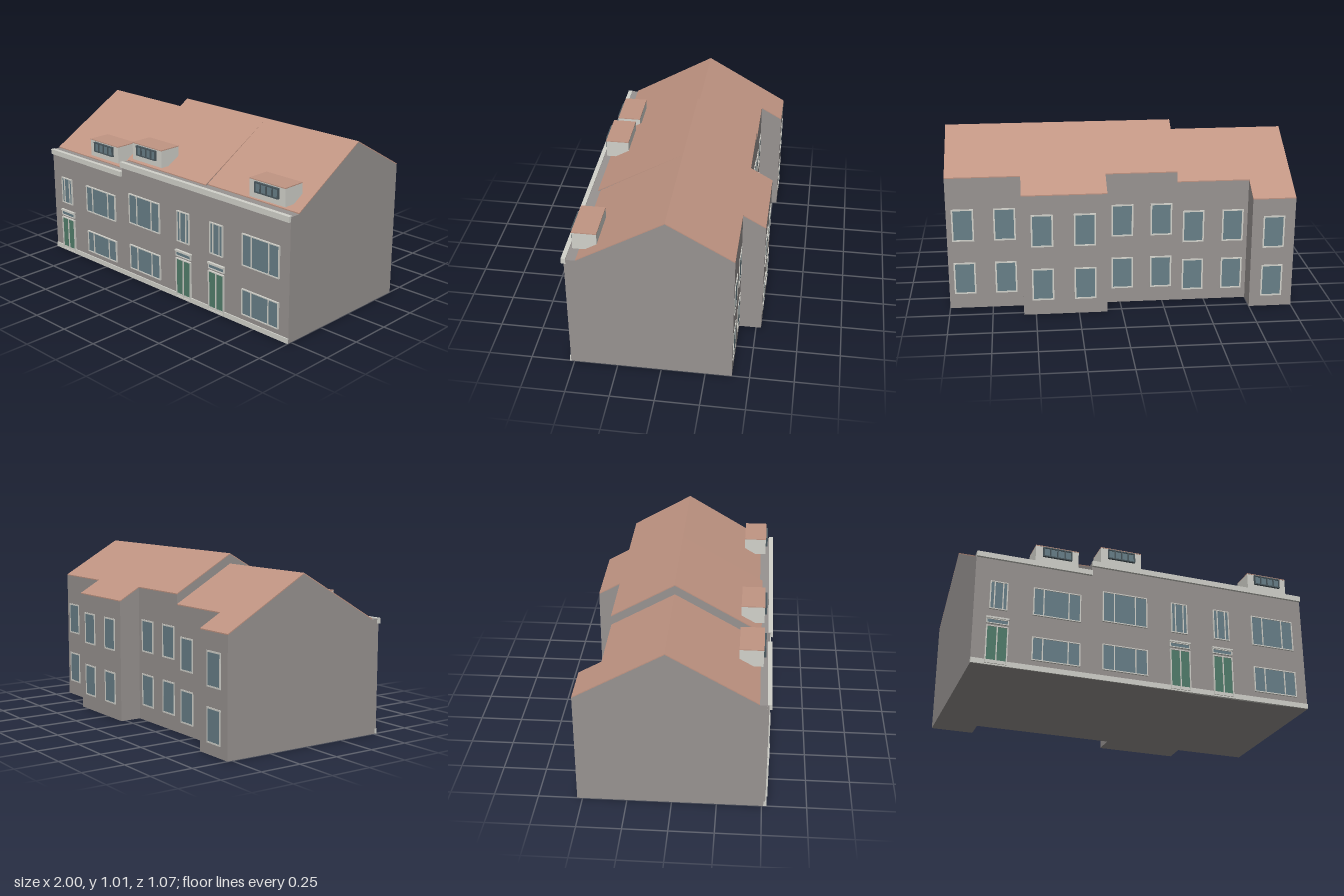
import * as THREE from 'three';

const mat = (name, color) => {
  const m = new THREE.MeshStandardMaterial({ color });
  m.name = name;
  return m;
};

export function createModel() {
  const wall = mat('grey wall', 0x989391);
  const tile = mat('terracotta roof', 0xc19583);
  const trim = mat('pale trim', 0xd2d2cb);
  const glass = mat('blue glass', 0x687f88);
  const green = mat('green door', 0x517d6b);
  const dark = mat('dark frame', 0x4c5a60);
  const model = new THREE.Group();
  model.name = 'terrace';

  const add = (name, geo, material, parent = model) => {
    const mesh = new THREE.Mesh(geo, material);
    mesh.name = name;
    parent.add(mesh);
    return mesh;
  };
  const box = (name, x0, x1, y0, y1, z0, z1, material, parent) =>
    add(name, new THREE.BoxGeometry(x1 - x0, y1 - y0, z1 - z0), material, parent)
      .position.set((x0 + x1) / 2, (y0 + y1) / 2, (z0 + z1) / 2);

  // Extrudes a (z, y) cross-section along x
  const section = (name, pts, x0, x1, material) => {
    const shape = new THREE.Shape(pts.map(([z, y]) => new THREE.Vector2(-z, y)));
    const geo = new THREE.ExtrudeGeometry(shape, { depth: x1 - x0, bevelEnabled: false });
    geo.rotateY(Math.PI / 2).translate(x0, 0, 0);
    add(name, geo, material);
  };

  // Framed opening: bars are x positions of the mullions
  const opening = (name, x0, x1, y0, y1, z, o = {}) => {
    const { bars = [], frame = trim, fill = glass, back = false, edge = 0.006, depth = 0.01 } = o;
    const g = new THREE.Group();
    g.name = name;
    const cx = (x0 + x1) / 2, w = (x1 - x0) / 2;
    const rect = (P, a, b, c, d) => {
      const p = new P();
      p.moveTo(a, c); p.lineTo(b, c); p.lineTo(b, d); p.lineTo(a, d); p.closePath();
      return p;
    };
    const shape = rect(THREE.Shape, -w, w, y0, y1);
    const stops = [-w + edge / 2, ...bars.map(b => b - cx), w - edge / 2];
    for (let i = 0; i + 1 < stops.length; i++)
      shape.holes.push(rect(THREE.Path, stops[i] + edge / 2, stops[i + 1] - edge / 2, y0 + edge, y1 - edge));
    add('frame', new THREE.ExtrudeGeometry(shape, { depth, bevelEnabled: false }), frame, g);
    box('pane', -w + 0.002, w - 0.002, y0 + 0.002, y1 - 0.002, 0, depth * 0.5, fill, g);
    g.position.set(cx, 0, z);
    if (back) g.rotation.y = Math.PI;
    model.add(g);
  };

  // Wall blocks and roofs: x range, back z, drop of the lower house, front eave z
  const front = 0.52, ridgeZ = -0.03, t = 0.006;
  [
    [-1, -0.75, -0.53, 0.06, 0.47],
    [-0.75, -0.33, -0.40, 0.06, 0.47],
    [-0.33, 0.085, -0.40, 0, 0.47],
    [0.085, 0.33, -0.53, 0, 0.47],
    [0.33, 0.57, -0.53, 0, 0.455],
    [0.57, 1, -0.40, 0, 0.455],
  ].forEach(([x0, x1, zb, drop, ze]) => {
    const eave = 0.73 - drop, ridge = 1.015 - drop;
    const yb = ridge - (ridgeZ - zb) * 0.57;
    section('walls', [[front, 0], [front, eave - t], [ze, eave - t], [ridgeZ, ridge - t],
      [zb, yb - t], [zb, 0]], x0, x1, wall);
    section('roof', [[ze, eave], [ridgeZ, ridge], [zb, yb], [zb, yb - t],
      [ridgeZ, ridge - t], [ze, eave - t]], x0, x1, tile);
  });

  // Cornices and plinth
  box('cornice', -1, -0.33, 0.637, 0.668, front - 0.01, 0.535, trim);
  box('cornice', -0.33, 1, 0.697, 0.73, front - 0.01, 0.535, trim);
  box('plinth', -1, 1, 0, 0.03, front - 0.01, 0.527, trim);

  // Wide three-pane windows, two storeys, with dormers above
  [
    [-0.67, -0.395, [-0.61, -0.465], 0.06, 0.2, 0.33, 0.5],
    [-0.267, 0.002, [-0.196, -0.07], 0.063, 0.22, 0.358, 0.547],
    [0.662, 0.932, [0.732, 0.858], 0.063, 0.22, 0.358, 0.547],
  ].forEach(([x0, x1, bars, a, b, c, d]) => {
    opening('lowerWindow', x0, x1, a, b, front, { bars });
    opening('upperWindow', x0, x1, c, d, front, { bars });
  });
  [[-0.655, -0.4, 0.06], [-0.265, -0.015, 0], [0.677, 0.93, 0]].forEach(([x0, x1, drop]) => {
    box('dormer', x0, x1, 0.752 - drop, 0.853 - drop, 0.35, 0.485, trim);
    box('dormerRoof', x0, x1, 0.853 - drop, 0.858 - drop, 0.35, 0.487, tile);
    const a = x0 + 0.042, w = x1 - x0 - 0.084;
    opening('dormerWindow', a, a + w, 0.787 - drop, 0.847 - drop, 0.485,
      { bars: [1, 2, 3].map(i => a + w * i / 4), frame: dark, edge: 0.007, depth: 0.013 });
  });

  // Doors with a transom, ledge and narrow window above
  [[-0.865, 0.23, 0.33, 0.5], [0.2, 0.253, 0.358, 0.547], [0.465, 0.253, 0.358, 0.547]]
    .forEach(([x, top, c, d]) => {
      opening('door', x - 0.061, x + 0.061, 0.008, top, front, { bars: [x], fill: green, depth: 0.012 });
      opening('transom', x - 0.062, x + 0.062, top + 0.012, top + 0.042, front, { edge: 0.005 });
      box('doorLedge', x - 0.064, x + 0.064, top + 0.042, top + 0.052, front, 0.535, trim);
      opening('narrowWindow', x - 0.05, x + 0.05, c, d, front, { bars: [x - 0.024, x + 0.024] });
    });

  // Rear windows: centre x, wall z, drop
  [
    [0.907, -0.4, 0], [0.668, -0.4, 0], [0.457, -0.53, 0], [0.213, -0.53, 0],
    [-0.013, -0.4, 0], [-0.24, -0.4, 0], [-0.43, -0.4, 0.025], [-0.662, -0.4, 0.025],
    [-0.877, -0.53, 0.025],
  ].forEach(([x, z, drop]) => {
    const o = { back: true, edge: 0.009, depth: 0.004 };
    opening('rearLowerWindow', x - 0.063, x + 0.063, 0.09 - drop, 0.285 - drop, z, o);
    opening('rearUpperWindow', x - 0.063, x + 0.063, 0.418 - drop * 2, 0.613 - drop * 2, z, o);
  });

  return model;
}
